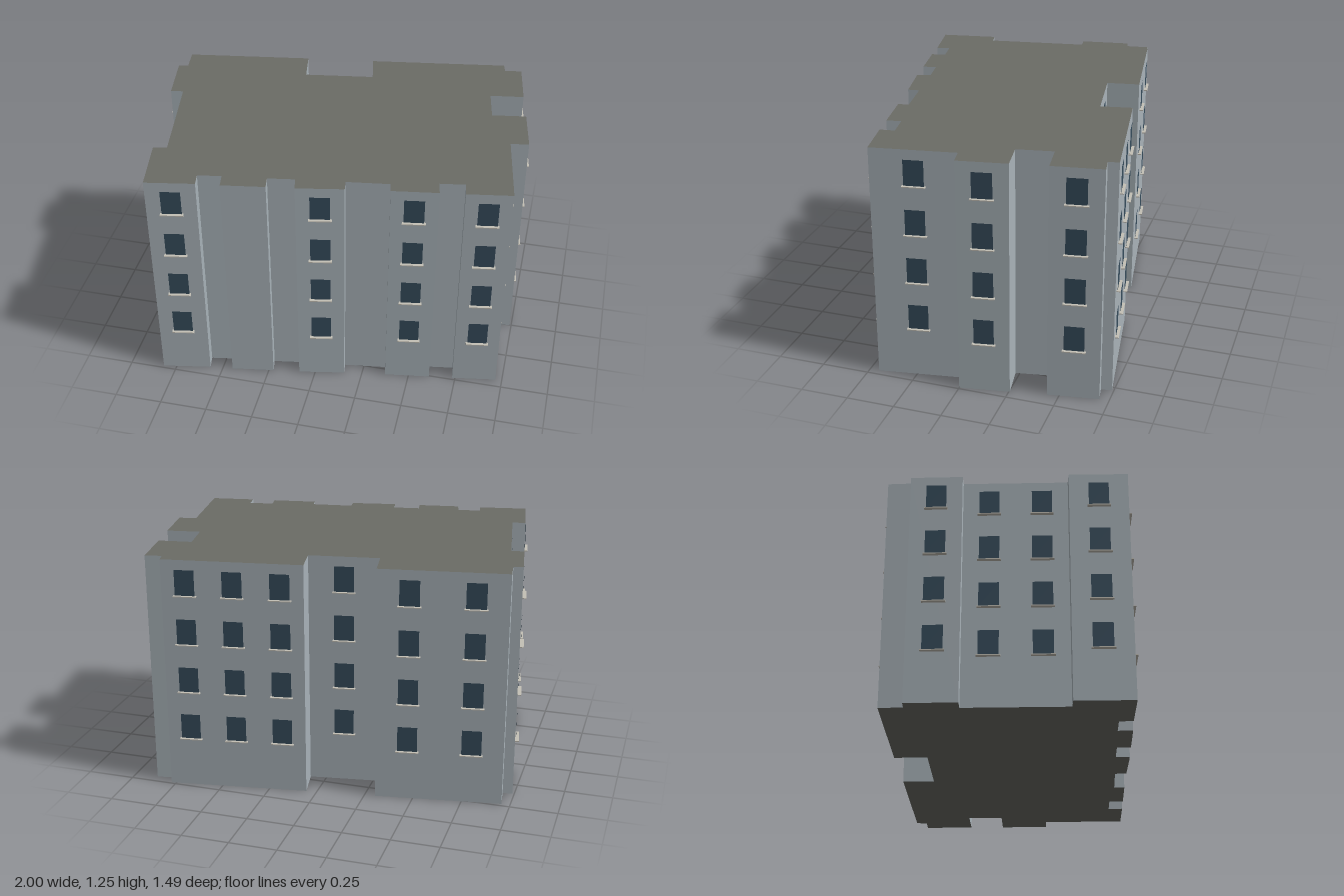
import * as THREE from 'three';

const HEIGHT = 1.245;
// floor plan corners (x, z), starting at the back left
const PLAN = [
  [-0.955, -0.48], [-0.305, -0.58], [-0.277, -0.41], [0.085, -0.465], [0.055, -0.63],
  [0.775, -0.74], [0.787, -0.685], [0.875, -0.7], [0.915, -0.44], [0.74, -0.415],
  [0.772, -0.228], [0.948, -0.255], [0.99, 0], [0.897, 0.015], [0.965, 0.45],
  [0.735, 0.487], [0.725, 0.41], [0.597, 0.43], [0.61, 0.505], [0.375, 0.54],
  [0.365, 0.485], [0.147, 0.515], [0.155, 0.575], [-0.085, 0.62], [-0.1, 0.548],
  [-0.237, 0.57], [-0.225, 0.64], [-0.447, 0.675], [-0.46, 0.6], [-0.58, 0.62],
  [-0.568, 0.69], [-0.82, 0.735], [-0.87, 0.44], [-0.8, 0.425], [-0.885, -0.1],
  [-0.95, -0.09], [-0.99, -0.35], [-0.94, -0.36],
];
// wall (index of its first corner) -> number of evenly spaced window columns
const WINDOWS = {
  0: 2, 2: 1, 4: 3, 7: 1, 11: 1, 13: 1, 14: 1, 18: 1, 22: 1, 30: 1, 31: 1, 33: 2, 35: 1,
};
const FLOORS = 4, FIRST_SILL = 0.27, FLOOR_PITCH = 0.263;
const WIN_W = 0.102, WIN_H = 0.135;

const mat = (color) => new THREE.MeshStandardMaterial({ color });

export function createModel() {
  const model = new THREE.Group();
  model.name = 'apartmentBlock';

  const wallMat = mat(0xaab4ba), roofMat = mat(0x6b6c66);
  const glassMat = mat(0x364c5c), sillMat = mat(0xc4c0b6);
  glassMat.side = THREE.DoubleSide;

  // building body: plan extruded upward, roof on the caps
  const shape = new THREE.Shape(PLAN.map(([x, z]) => new THREE.Vector2(x, -z)));
  const bodyGeo = new THREE.ExtrudeGeometry(shape, { depth: HEIGHT, bevelEnabled: false });
  bodyGeo.rotateX(-Math.PI / 2);
  const body = new THREE.Mesh(bodyGeo, [roofMat, wallMat]);
  body.name = 'wallsAndRoof';
  model.add(body);

  // windows: a pane just proud of the wall with a thin sill below it
  const paneGeo = new THREE.PlaneGeometry(WIN_W, WIN_H).translate(0, WIN_H / 2, 0.005);
  const sillGeo = new THREE.BoxGeometry(0.118, 0.005, 0.02).translate(0, -0.0025, 0.01);

  function addWindow(x, y, z, angle) {
    const win = new THREE.Group();
    win.name = 'window';
    const pane = new THREE.Mesh(paneGeo, glassMat);
    pane.name = 'windowPane';
    const sill = new THREE.Mesh(sillGeo, sillMat);
    sill.name = 'windowSill';
    win.add(pane, sill);
    win.position.set(x, y, z);
    win.rotation.y = angle;
    model.add(win);
  }

  for (const [key, columns] of Object.entries(WINDOWS)) {
    const i = Number(key);
    const [x0, z0] = PLAN[i], [x1, z1] = PLAN[(i + 1) % PLAN.length];
    const dx = x1 - x0, dz = z1 - z0;
    const angle = Math.atan2(dz, -dx); // outward normal is (dz, -dx)
    for (let c = 0; c < columns; c++) {
      const t = (c + 0.5) / columns;
      for (let f = 0; f < FLOORS; f++) {
        addWindow(x0 + dx * t, FIRST_SILL + f * FLOOR_PITCH, z0 + dz * t, angle);
      }
    }
  }
  return model;
}
